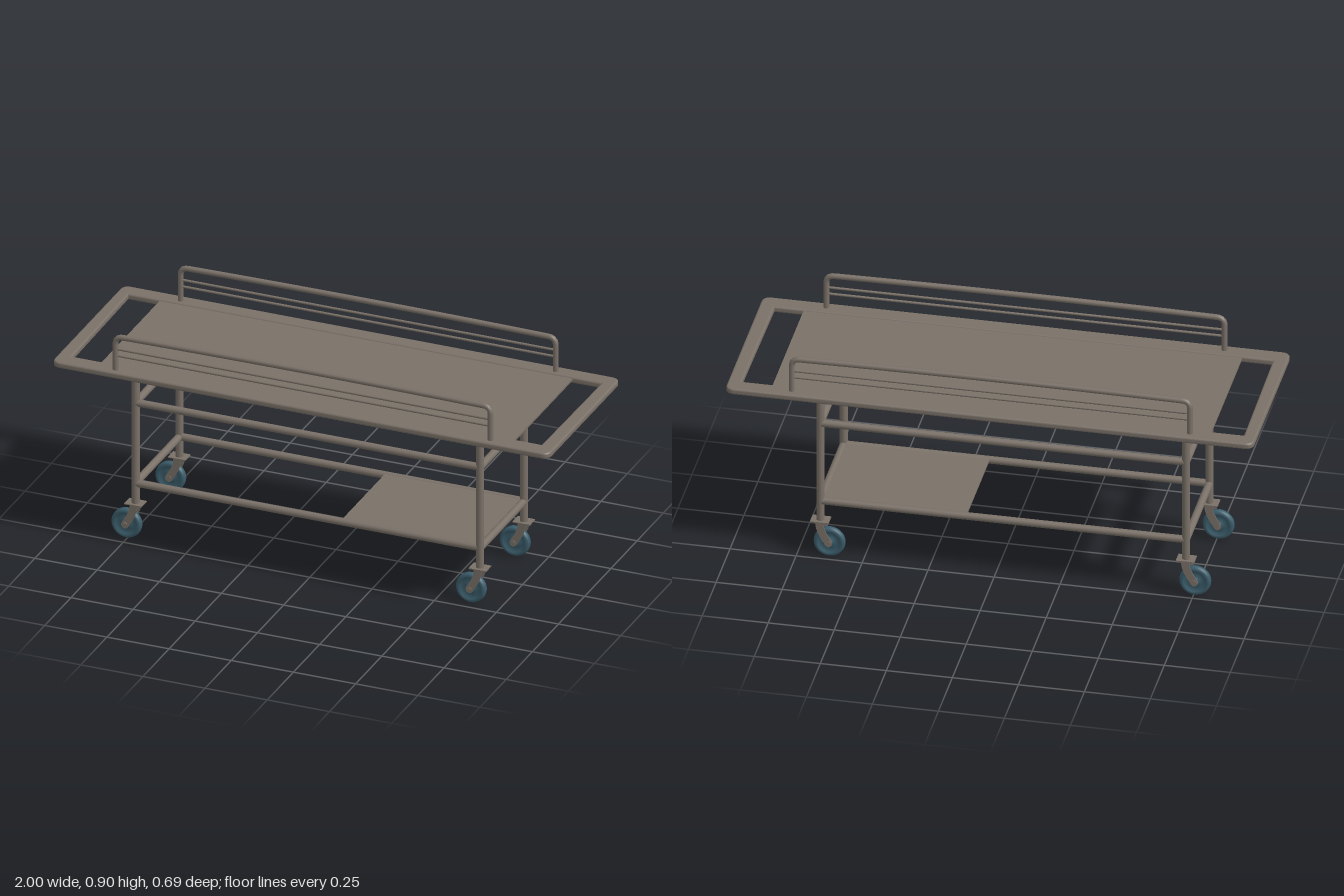
import * as THREE from 'three';

const steel = new THREE.MeshStandardMaterial({ color: 0x7a7168 });
steel.name = 'warm grey steel';
const rubber = new THREE.MeshStandardMaterial({ color: 0x3a5c6a });
rubber.name = 'blue grey rubber';

const LEG_X = [-0.72, 0.665], LEG_Z = [0.203, -0.216];
const V = (x, y, z) => new THREE.Vector3(x, y, z);

function add(parent, name, geometry, material = steel) {
  const mesh = new THREE.Mesh(geometry, material);
  mesh.name = name;
  parent.add(mesh);
  return mesh;
}

// Straight round bar between two points
function bar(parent, name, a, b, r) {
  const mesh = add(parent, name, new THREE.CylinderGeometry(r, r, a.distanceTo(b), 20));
  mesh.position.copy(a).lerp(b, 0.5);
  mesh.quaternion.setFromUnitVectors(V(0, 1, 0), b.clone().sub(a).normalize());
  return mesh;
}

function box(parent, name, x0, x1, y0, y1, z0, z1) {
  const mesh = add(parent, name, new THREE.BoxGeometry(x1 - x0, y1 - y0, z1 - z0));
  mesh.position.set((x0 + x1) / 2, (y0 + y1) / 2, (z0 + z1) / 2);
  return mesh;
}

// Rounded outer rim with one large opening, plus the bed panel inside it
function createDeck() {
  const deck = new THREE.Group();
  deck.name = 'deck';
  const X = 1, Z = 0.345, R = 0.035;
  const rim = new THREE.Shape();
  rim.moveTo(-X + R, -Z).lineTo(X - R, -Z);
  rim.quadraticCurveTo(X, -Z, X, -Z + R).lineTo(X, Z - R);
  rim.quadraticCurveTo(X, Z, X - R, Z).lineTo(-X + R, Z);
  rim.quadraticCurveTo(-X, Z, -X, Z - R).lineTo(-X, -Z + R);
  rim.quadraticCurveTo(-X, -Z, -X + R, -Z);
  const hole = new THREE.Path();
  hole.moveTo(-0.945, -0.275).lineTo(-0.952, 0.28).lineTo(0.948, 0.28).lineTo(0.942, -0.275).closePath();
  rim.holes.push(hole);
  const bevel = 0.008;
  const geo = new THREE.ExtrudeGeometry(rim, {
    depth: 0.025 - 2 * bevel, bevelEnabled: true, bevelThickness: bevel,
    bevelSize: bevel, bevelOffset: -bevel, bevelSegments: 4, curveSegments: 8,
  });
  geo.rotateX(-Math.PI / 2).translate(0, 0.72 + bevel, 0);
  add(deck, 'deckRim', geo);
  box(deck, 'bedPanel', -0.828, 0.833, 0.732, 0.74, -0.284, 0.284);
  return deck;
}

// Bent guard rail with a slightly crowned top and two thin inner rods
function createRail(z) {
  const rail = new THREE.Group();
  rail.name = z > 0 ? 'frontRail' : 'backRail';
  const x0 = -0.754, x1 = 0.754, top = 0.881, r = 0.03;
  const path = new THREE.CurvePath();
  path.add(new THREE.LineCurve3(V(x0, 0.735, z), V(x0, top - r, z)));
  path.add(new THREE.QuadraticBezierCurve3(V(x0, top - r, z), V(x0, top, z), V(x0 + r, top, z)));
  path.add(new THREE.QuadraticBezierCurve3(V(x0 + r, top, z), V(0, top + 0.01, z), V(x1 - r, top, z)));
  path.add(new THREE.QuadraticBezierCurve3(V(x1 - r, top, z), V(x1, top, z), V(x1, top - r, z)));
  path.add(new THREE.LineCurve3(V(x1, top - r, z), V(x1, 0.735, z)));
  add(rail, 'railTube', new THREE.TubeGeometry(path, 160, 0.011, 14));
  for (const y of [0.803, 0.83]) bar(rail, 'railRod', V(x0, y, z), V(x1, y, z), 0.005);
  return rail;
}

// Trailing swivel caster, with its origin on the leg axis at floor level
function createCaster() {
  const caster = new THREE.Group();
  caster.name = 'caster';
  const ax = -0.035, ay = 0.06;
  box(caster, 'swivelPlate', -0.036, 0.034, 0.146, 0.15, -0.026, 0.026);

  // Two bent fork plates
  const fork = new THREE.Shape();
  fork.moveTo(-0.016, 0.147);
  fork.quadraticCurveTo(-0.014, 0.115, -0.048, 0.068);
  fork.quadraticCurveTo(-0.052, 0.048, ax, 0.045);
  fork.quadraticCurveTo(-0.022, 0.047, -0.018, 0.06);
  fork.quadraticCurveTo(0.015, 0.108, 0.015, 0.147);
  for (const z of [-0.021, 0.021]) {
    const geo = new THREE.ExtrudeGeometry(fork, { depth: 0.004, bevelEnabled: false, curveSegments: 8 });
    add(caster, 'forkPlate', geo).position.z = z - 0.002;
  }

  // Tyre with recessed disc and raised hub
  const half = [[0.06, 0], [0.0585, 0.009], [0.053, 0.015], [0.043, 0.0145], [0.039, 0.008],
    [0.02, 0.007], [0.016, 0.016], [0.004, 0.016]];
  const profile = [...half.slice(1).reverse().map(([r, y]) => [r, -y]), ...half];
  const tyre = new THREE.LatheGeometry(profile.map(([r, y]) => new THREE.Vector2(r, y)), 36);
  add(caster, 'wheel', tyre.rotateX(Math.PI / 2), rubber).position.set(ax, ay, 0);

  // Axle with bolt heads
  bar(caster, 'axle', V(ax, ay, -0.027), V(ax, ay, 0.027), 0.006);
  for (const s of [-1, 1]) bar(caster, 'axleNut', V(ax, ay, s * 0.022), V(ax, ay, s * 0.026), 0.011);
  return caster;
}

export function createModel() {
  const model = new THREE.Group();
  model.name = 'stretcherTrolley';
  model.add(createDeck(), createRail(0.314), createRail(-0.308));

  // Legs and casters
  for (const x of LEG_X) for (const z of LEG_Z) {
    bar(model, 'leg', V(x, 0.147, z), V(x, 0.733, z), 0.0152);
    const caster = createCaster();
    caster.position.set(x, 0, z);
    model.add(caster);
  }

  // Upper and lower rings of braces
  for (const y of [0.23, 0.563]) {
    for (const z of LEG_Z) bar(model, 'sideBrace', V(LEG_X[0], y, z), V(LEG_X[1], y, z), 0.0145);
    for (const x of LEG_X) bar(model, 'endBrace', V(x, y, LEG_Z[0]), V(x, y, LEG_Z[1]), 0.0145);
  }

  // Half-length lower shelf
  box(model, 'lowerShelf', 0.11, 0.655, 0.233, 0.24, -0.21, 0.197);
  return model;
}
